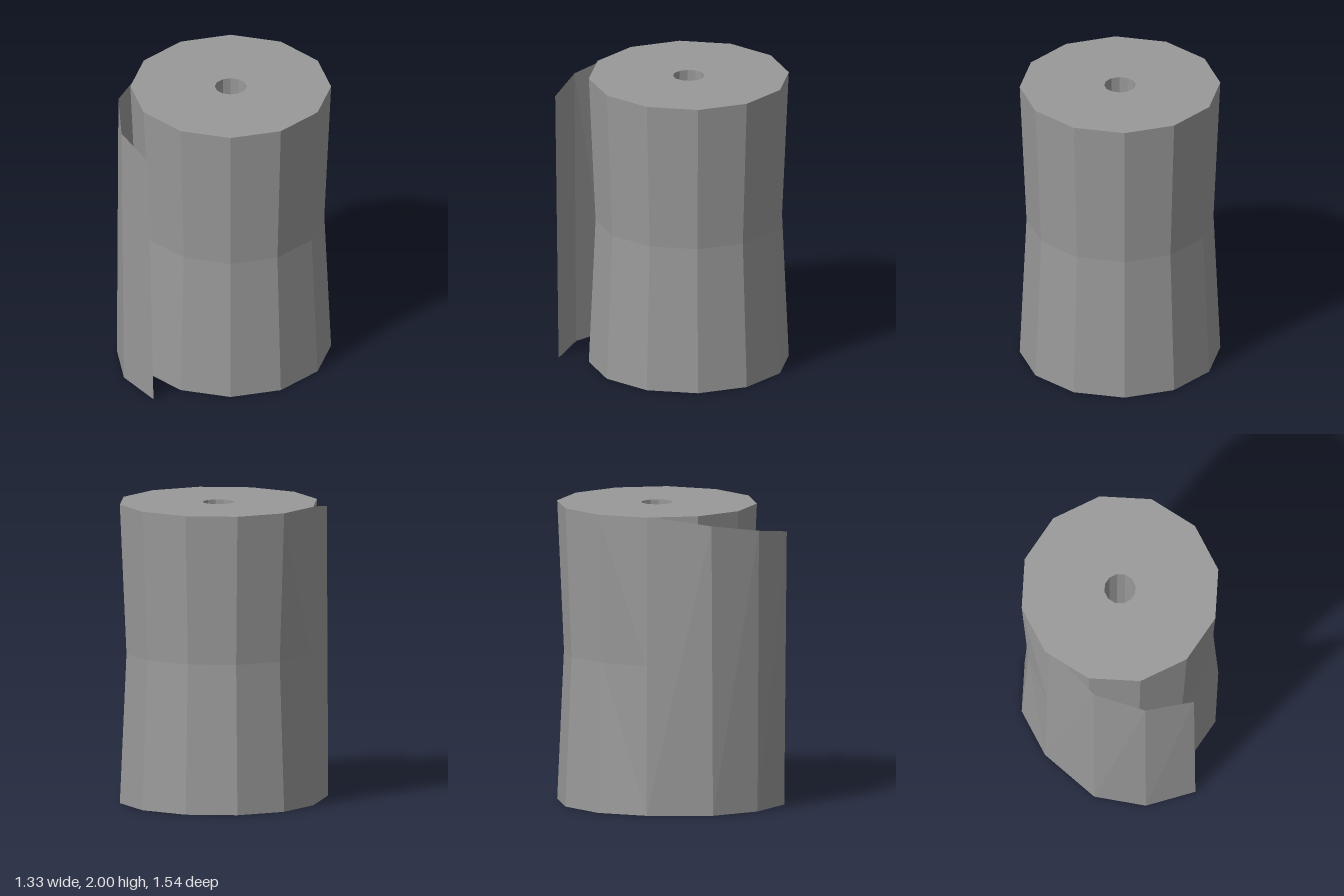
import * as THREE from 'three';

const SIDES = 12;
const CENTER_Z = -0.107;
const R_END = 0.665;   // radius at both ends
const R_WAIST = 0.62;  // pinched radius at mid height
const R_HOLE = 0.105;

const paperGrey = new THREE.MeshStandardMaterial({ color: 0x999999, flatShading: true });
const sheetGrey = paperGrey;
sheetGrey.side = THREE.DoubleSide;

// Twelve-sided turned surface from [radius, height] pairs
function turned(name, profile) {
  const geo = new THREE.LatheGeometry(profile.map(([r, y]) => new THREE.Vector2(r, y)), SIDES);
  const mesh = new THREE.Mesh(geo, paperGrey);
  mesh.name = name;
  mesh.position.z = CENTER_Z;
  return mesh;
}

// Straight line where the loose sheet leaves the roll
const seamX = (y) => -R_END + 0.02 * y;

// Loose sheet: bottom and top points of each fold
function looseSheet() {
  const bottom = [[seamX(0), 0, CENTER_Z], [-0.618, 0, 0.33], [-0.405, 0, 0.605], [-0.095, 0, 0.75]];
  const top = [[seamX(2), 2, CENTER_Z], [-0.612, 1.94, 0.32], [-0.418, 1.885, 0.615], [-0.125, 1.837, 0.77]];
  const pos = [];
  for (let i = 0; i < 3; i++) {
    pos.push(...bottom[i], ...bottom[i + 1], ...top[i + 1]);
    pos.push(...bottom[i], ...top[i + 1], ...top[i]);
  }
  const geo = new THREE.BufferGeometry();
  geo.setAttribute('position', new THREE.Float32BufferAttribute(pos, 3));
  geo.computeVertexNormals();
  const mesh = new THREE.Mesh(geo, sheetGrey);
  mesh.name = 'looseSheet';
  return mesh;
}

export function createModel() {
  const group = new THREE.Group();
  group.name = 'paperRoll';

  // Outer wall, pinched at the waist, with the seam column pulled onto the sheet
  const wall = turned('rollWall', [[R_END, 0], [R_WAIST, 1], [R_END, 2]]);
  const p = wall.geometry.attributes.position;
  for (let i = 0; i < p.count; i++) {
    if (p.getX(i) < -0.6 && Math.abs(p.getZ(i)) < 0.01) p.setX(i, seamX(p.getY(i)));
  }
  wall.geometry.computeVertexNormals();
  group.add(wall);

  // End faces and the core hole
  group.add(turned('bottomFace', [[R_HOLE, 0], [R_END, 0]]));
  group.add(turned('topFace', [[R_END, 2], [R_HOLE, 2]]));
  group.add(turned('coreHole', [[R_HOLE, 2], [R_HOLE, 0]]));

  group.add(looseSheet());
  return group;
}
